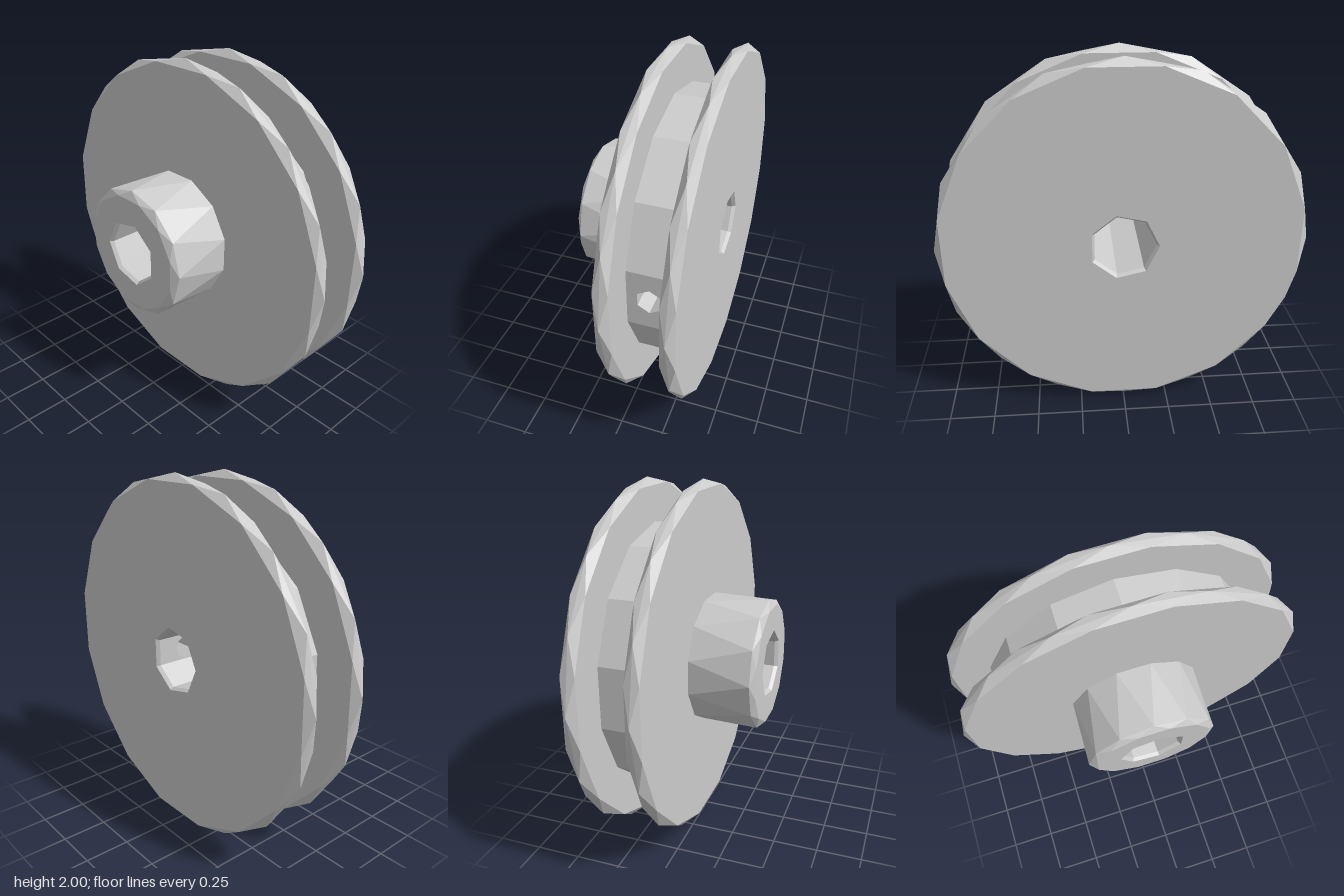
import * as THREE from 'three';

const grey = new THREE.MeshStandardMaterial({ color: 0xcccccc, flatShading: true });
const greyDouble = new THREE.MeshStandardMaterial({ color: 0xcccccc, flatShading: true, side: THREE.DoubleSide });

const BORE = 0.175, BORE_SIDES = 7, CORE = 0.76, CORE_SIDES = 14;
const FLANGE_SIDES = 16, HUB_SIDES = 12;
const LEFT = 0.385, RIGHT = -0.385, HOLE_Z = 0.18, HOLE_R = 0.073;

// Regular polygon around the axle; facet 0 is centred on the front
function ring(n, r, twist = 0) {
  return Array.from({ length: n }, (_, i) => {
    const a = Math.PI + ((i - 0.5 + twist) * 2 * Math.PI) / n;
    return new THREE.Vector2(r * Math.cos(a), r * Math.sin(a));
  });
}

function add(group, name, geometry, material = grey) {
  const mesh = new THREE.Mesh(geometry, material);
  mesh.name = name;
  group.add(mesh);
  return mesh;
}

// Faceted wall through rings of [z, radius, twist]; firstFacet = 1 leaves the front facet open
function wall(n, rings, firstFacet = 0) {
  const pos = [];
  const pts = rings.map(([z, r, t]) => ring(n, r, t).map((p) => [p.x, p.y, z]));
  for (let k = 0; k < pts.length - 1; k++) {
    const a = pts[k], b = pts[k + 1];
    for (let i = firstFacet; i < n; i++) {
      const j = (i + 1) % n;
      pos.push(...a[i], ...a[j], ...b[i], ...b[i], ...a[j], ...b[j]);
    }
  }
  const g = new THREE.BufferGeometry();
  g.setAttribute('position', new THREE.Float32BufferAttribute(pos, 3));
  g.computeVertexNormals();
  return g;
}

// Flat annular face at z, looking along +z or -z
function face(z, outer, inner, dir) {
  const shape = new THREE.Shape(outer);
  shape.holes.push(new THREE.Path(inner));
  const g = new THREE.ShapeGeometry(shape);
  if (dir < 0) {
    const idx = g.index.array;
    for (let i = 0; i < idx.length; i += 3) [idx[i], idx[i + 1]] = [idx[i + 1], idx[i]];
    g.computeVertexNormals();
  }
  return g.translate(0, 0, z);
}

// Front facet of a prism, pierced by the hexagonal screw hole
function piercedPanel(n, r, z0, z1) {
  const h = r * Math.sin(Math.PI / n);
  const shape = new THREE.Shape([
    new THREE.Vector2(z0, -h), new THREE.Vector2(z1, -h),
    new THREE.Vector2(z1, h), new THREE.Vector2(z0, h),
  ]);
  const hole = Array.from({ length: 6 }, (_, i) => {
    const a = (i * Math.PI) / 3;
    return new THREE.Vector2(HOLE_Z + HOLE_R * Math.sin(a), HOLE_R * Math.cos(a));
  });
  shape.holes.push(new THREE.Path(hole));
  return new THREE.ShapeGeometry(shape).rotateY(-Math.PI / 2).translate(-r * Math.cos(Math.PI / n), 0, 0);
}

// Chamfered disc from z0 to z1 with the given hole in each face
function flange(name, z0, z1, hole0, hole1) {
  const g = new THREE.Group();
  g.name = name;
  const mid = (z0 + z1) / 2, r = 0.975;
  add(g, 'rim', wall(FLANGE_SIDES, [[z0, r, 0], [mid, 1, 0.5], [z1, r, 1]]));
  add(g, 'rightFace', face(z0, ring(FLANGE_SIDES, r), hole0, -1));
  add(g, 'leftFace', face(z1, ring(FLANGE_SIDES, r, 1), hole1, 1));
  return g;
}

export function createModel() {
  const model = new THREE.Group();
  model.name = 'pulley';
  const wheel = new THREE.Group();
  wheel.name = 'wheel';
  model.add(wheel);

  // Two flanges
  const mouth = ring(BORE_SIDES, BORE + 0.015);
  const coreSeat = ring(CORE_SIDES, CORE - 0.03);
  wheel.add(flange('hubSideFlange', -0.02, 0.06, ring(HUB_SIDES, 0.33), coreSeat));
  wheel.add(flange('outerFlange', 0.305, LEFT, coreSeat, mouth));

  // Groove floor with its pierced front facet
  add(wheel, 'grooveFloor', wall(CORE_SIDES, [[0.06, CORE, 0], [0.305, CORE, 0]], 1));
  add(wheel, 'grooveFloorPanel', piercedPanel(CORE_SIDES, CORE, 0.06, 0.305));

  // Hub
  add(wheel, 'hub', wall(HUB_SIDES, [[RIGHT, 0.335, 0], [-0.36, 0.37, 0.5], [-0.02, 0.37, 1]]));
  add(wheel, 'hubFace', face(RIGHT, ring(HUB_SIDES, 0.335), mouth, -1));

  // Axle bore with chamfered mouths
  const z0 = RIGHT + 0.02, z1 = LEFT - 0.02;
  add(wheel, 'boreLeftMouth', wall(BORE_SIDES, [[LEFT, BORE + 0.015, 0], [z1, BORE, 0]]));
  add(wheel, 'bore', wall(BORE_SIDES, [[z1, BORE, 0], [z0, BORE, 0]], 1));
  add(wheel, 'boreRightMouth', wall(BORE_SIDES, [[z0, BORE, 0], [RIGHT, BORE + 0.015, 0]]));
  add(wheel, 'borePanel', piercedPanel(BORE_SIDES, BORE, z0, z1), greyDouble);

  // Radial screw hole from groove to bore
  const near = BORE * Math.cos(Math.PI / BORE_SIDES), far = CORE * Math.cos(Math.PI / CORE_SIDES);
  const tunnel = new THREE.CylinderGeometry(HOLE_R, HOLE_R, far - near, 6, 1, true);
  tunnel.rotateY(Math.PI / 2).rotateZ(Math.PI / 2).translate(-(near + far) / 2, 0, HOLE_Z);
  add(wheel, 'screwHole', tunnel, greyDouble);

  // Axle lies along x, screw hole faces the front
  wheel.rotation.y = Math.PI / 2;
  wheel.position.y = 1;
  return model;
}
